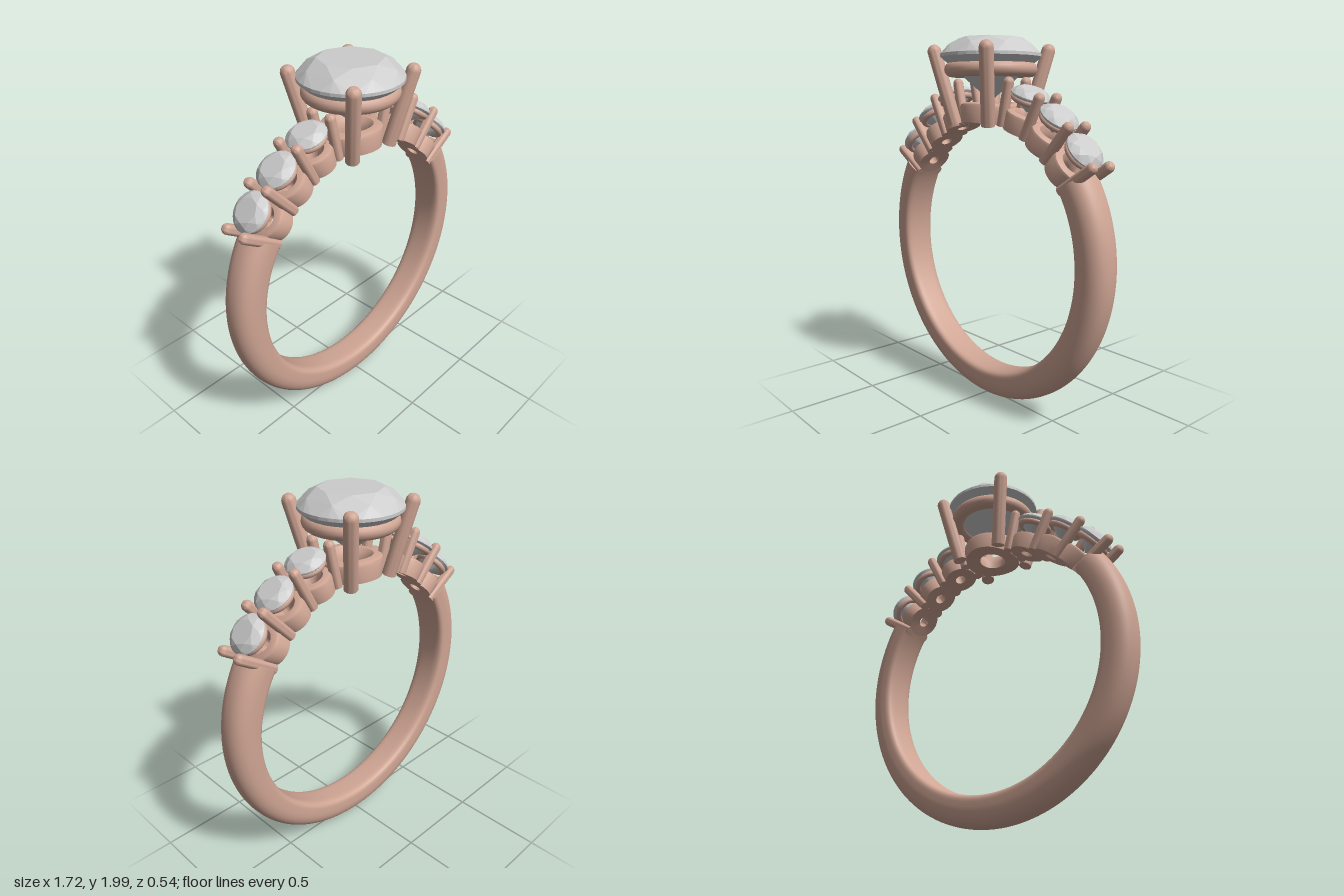
import * as THREE from 'three';
import { ConvexGeometry } from 'three/addons/geometries/ConvexGeometry.js';
import { ParametricGeometry } from 'three/addons/geometries/ParametricGeometry.js';
import { toCreasedNormals } from 'three/addons/utils/BufferGeometryUtils.js';

const CY = 0.865;      // height of the ring centre
const INNER = 0.695;   // inner radius of the band
const rad = THREE.MathUtils.degToRad;
const metal = new THREE.MeshStandardMaterial({ color: 0xcfa594 });
const metalThin = new THREE.MeshStandardMaterial({ color: 0xcfa594, side: THREE.DoubleSide });
const gem = new THREE.MeshStandardMaterial({ color: 0xcccccc, flatShading: true });

function add(parent, name, geometry, material = metal) {
  const mesh = new THREE.Mesh(geometry, material);
  mesh.name = name;
  parent.add(mesh);
  return mesh;
}

// Band section: flat inside, domed outside; returns [radius, z]
function bandPoint(t, halfWidth) {
  const c = Math.cos(t), s = Math.sin(t);
  const e = c > 0 ? 2 / 2.3 : 2 / 4.5;
  const depth = c > 0 ? 0.1 : 0.065;
  return [0.76 + Math.sign(c) * depth * Math.abs(c) ** e, Math.sign(s) * halfWidth * Math.abs(s) ** e];
}

// Open band with closed ends, a little narrower at the bottom
function addShank(parent, endAngle) {
  const start = rad(endAngle), sweep = Math.PI + 2 * start;
  const surface = (u, v, target) => {
    const a = start - sweep * v;
    const [r, z] = bandPoint(u * Math.PI * 2, 0.095 + 0.008 * Math.sin(a));
    target.set(r * Math.cos(a), CY + r * Math.sin(a), z);
  };
  add(parent, 'shank', new ParametricGeometry(surface, 48, 120));
  const outline = [];
  for (let i = 0; i < 48; i++) outline.push(new THREE.Vector2(...bandPoint(i / 48 * Math.PI * 2, 0.099)));
  for (const a of [start, Math.PI - start]) {
    const cap = add(parent, 'shankEnd', new THREE.ShapeGeometry(new THREE.Shape(outline)), metalThin);
    const er = new THREE.Vector3(Math.cos(a), Math.sin(a), 0);
    const ez = new THREE.Vector3(0, 0, 1);
    cap.quaternion.setFromRotationMatrix(new THREE.Matrix4().makeBasis(er, ez, er.clone().cross(ez)));
    cap.position.y = CY;
  }
}

// Round brilliant with its girdle at y = 0
function brilliant(radius) {
  const points = [new THREE.Vector3(0, -0.88 * radius, 0)];
  const ring = (n, r, y, offset = 0) => {
    for (let i = 0; i < n; i++) {
      const a = (i + offset) / n * Math.PI * 2;
      points.push(new THREE.Vector3(r * radius * Math.cos(a), y * radius, r * radius * Math.sin(a)));
    }
  };
  ring(8, 0.62, 0.34);          // table
  ring(8, 0.85, 0.21, 0.5);     // crown
  ring(32, 1, 0.03);            // girdle
  ring(32, 1, -0.03);
  ring(8, 0.3, -0.64, 0.5);     // pavilion
  return new ConvexGeometry(points);
}

// Round post with flat foot and domed tip
function post(radius, length) {
  const profile = [new THREE.Vector2(0, 0), new THREE.Vector2(radius, 0)];
  for (let i = 0; i <= 6; i++) {
    const a = i / 6 * Math.PI / 2;
    profile.push(new THREE.Vector2(Math.max(0, radius * Math.cos(a)), length - radius + radius * Math.sin(a)));
  }
  return toCreasedNormals(new THREE.LatheGeometry(profile, 20), 0.7);
}

// Pierced seat, bent to follow the inner curve of the band
function seat(outer, hole, height) {
  const lip = (outer - hole) * 0.25;
  const profile = [
    [hole, 0], [outer, 0], [outer, height - lip], [outer - lip * 0.3, height - lip * 0.3],
    [outer - lip, height], [hole + lip * 1.6, height], [hole + lip * 0.6, height * 0.75], [hole, height * 0.4], [hole, 0],
  ].map(([x, y]) => new THREE.Vector2(x, y));
  const geometry = new THREE.LatheGeometry(profile, 40);
  const p = geometry.attributes.position;
  for (let i = 0; i < p.count; i++) {
    const a = p.getX(i) / 0.75, r = INNER + p.getY(i);
    p.setXY(i, r * Math.sin(a), r * Math.cos(a));
  }
  return toCreasedNormals(geometry, 0.6);
}

// Group whose local y runs outward from the ring centre
function radialGroup(parent, name, degrees) {
  const group = new THREE.Group();
  group.name = name;
  group.position.y = CY;
  group.rotation.z = rad(degrees - 90);
  parent.add(group);
  return group;
}

function addCollar(parent, name, radius, tube, y) {
  const collar = add(parent, name, new THREE.TorusGeometry(radius, tube, 16, 48));
  collar.rotation.x = Math.PI / 2;
  collar.position.y = y;
}

export function createModel() {
  const model = new THREE.Group();
  model.name = 'ring';
  addShank(model, 33);

  // Shoulder stones, three on each side
  const first = 33, step = 14.65;
  for (const side of [1, -1]) {
    const mirror = (deg) => 90 + side * (deg - 90);
    for (let i = 0; i < 3; i++) {
      const setting = radialGroup(model, 'shoulderSetting', mirror(first + step * (i + 0.5)));
      add(setting, 'shoulderSeat', seat(0.1, 0.033, 0.1));
      addCollar(setting, 'shoulderCollar', 0.08, 0.017, 0.865);
      add(setting, 'shoulderStone', brilliant(0.104), gem).position.y = 0.89;
    }
    for (let i = 0; i < 4; i++) {
      const pair = radialGroup(model, 'shoulderProngs', mirror(first + step * i));
      for (const z of [-0.06, 0.06]) {
        add(pair, 'shoulderProng', post(0.028, 0.257)).position.set(0, INNER, z);
      }
    }
  }

  // Centre setting
  const centre = radialGroup(model, 'centreSetting', 90);
  add(centre, 'centreSeat', seat(0.165, 0.078, 0.105));
  addCollar(centre, 'centreCollar', 0.21, 0.04, 1.835 - CY);
  add(centre, 'centreStone', brilliant(0.27), gem).position.y = 1.908 - CY;
  for (const x of [-1, 1]) for (const z of [-1, 1]) {
    const foot = new THREE.Vector3(x * 0.138, 1.545, z * 0.138);
    const axis = new THREE.Vector3(x * 0.222, 1.965, z * 0.222).sub(foot);
    const prong = add(model, 'centreProng', post(0.037, axis.length()));
    prong.position.copy(foot);
    prong.quaternion.setFromUnitVectors(new THREE.Vector3(0, 1, 0), axis.normalize());
  }
  return model;
}
